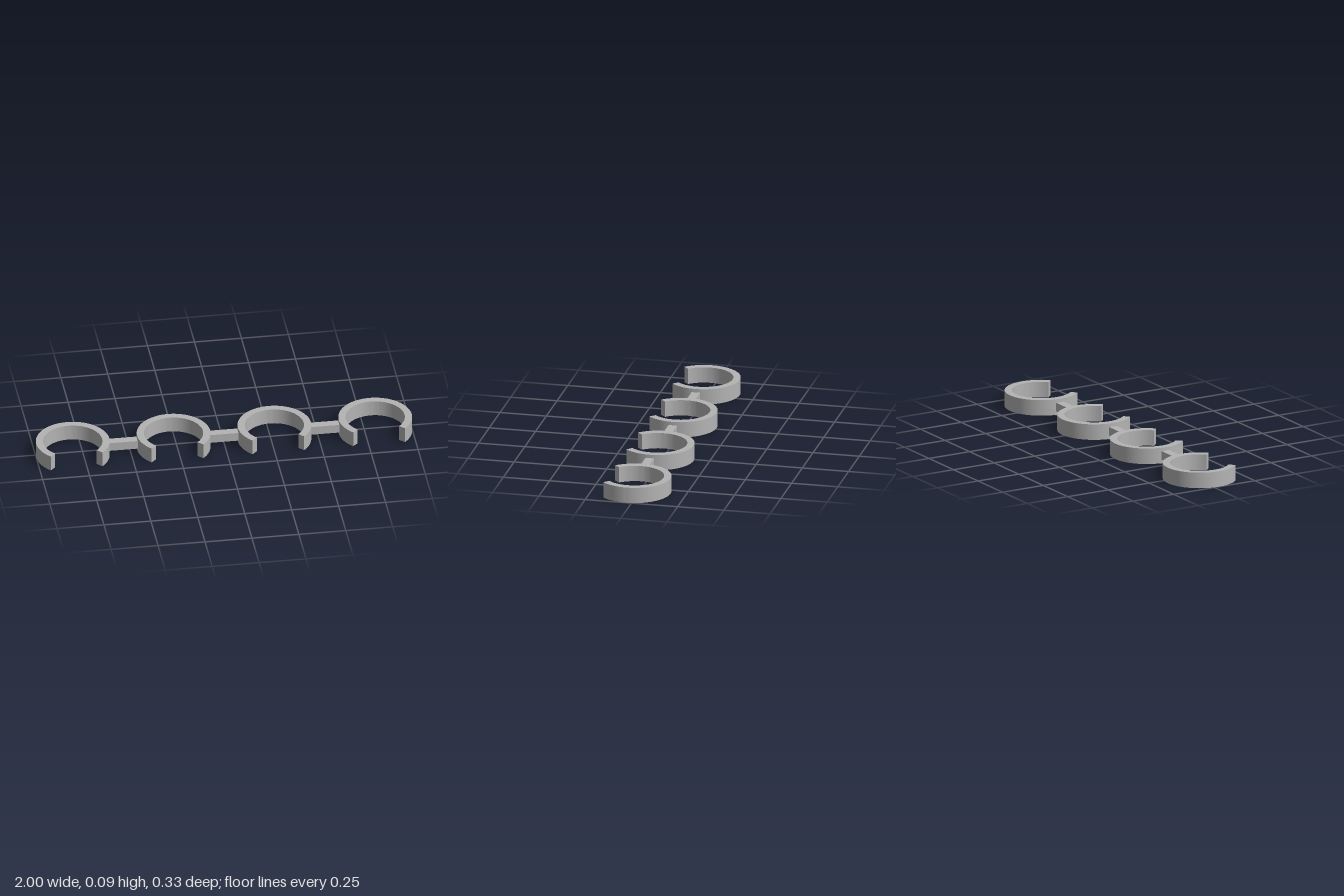
import * as THREE from 'three';
import { toCreasedNormals } from 'three/addons/utils/BufferGeometryUtils.js';

const OUTER = 0.1945, INNER = 0.156, HEIGHT = 0.085;
const SPACING = (2 - 2 * OUTER) / 3;
const RING_Z = 0.0275;

// Open C-shaped ring standing on y = 0, with its 90 degree gap facing +z
function clipGeometry() {
  const start = -Math.PI / 4, end = Math.PI * 5 / 4;
  const shape = new THREE.Shape();
  shape.absarc(0, 0, OUTER, start, end, false);
  shape.absarc(0, 0, INNER, end, start, true);
  const geometry = new THREE.ExtrudeGeometry(shape, { depth: HEIGHT, bevelEnabled: false, curveSegments: 48 });
  geometry.rotateX(-Math.PI / 2);
  return toCreasedNormals(geometry, 0.5);
}

export function createModel() {
  const model = new THREE.Group();
  model.name = 'clipRack';
  const grey = new THREE.MeshStandardMaterial({ color: 0xb4b4b4 });
  grey.name = 'grey';

  // Four clips in a row
  const clip = clipGeometry();
  for (let i = 0; i < 4; i++) {
    const mesh = new THREE.Mesh(clip, grey);
    mesh.name = `clip${i + 1}`;
    mesh.position.set((i - 1.5) * SPACING, 0, RING_Z);
    model.add(mesh);
  }

  // Bars joining neighbouring clips, ends sunk into the ring walls
  const bar = new THREE.BoxGeometry(SPACING - 2 * OUTER + 0.03, 0.047, 0.046);
  for (let i = 0; i < 3; i++) {
    const mesh = new THREE.Mesh(bar, grey);
    mesh.name = `connectingBar${i + 1}`;
    mesh.position.set((i - 1) * SPACING, HEIGHT / 2, 0.025);
    model.add(mesh);
  }
  return model;
}
